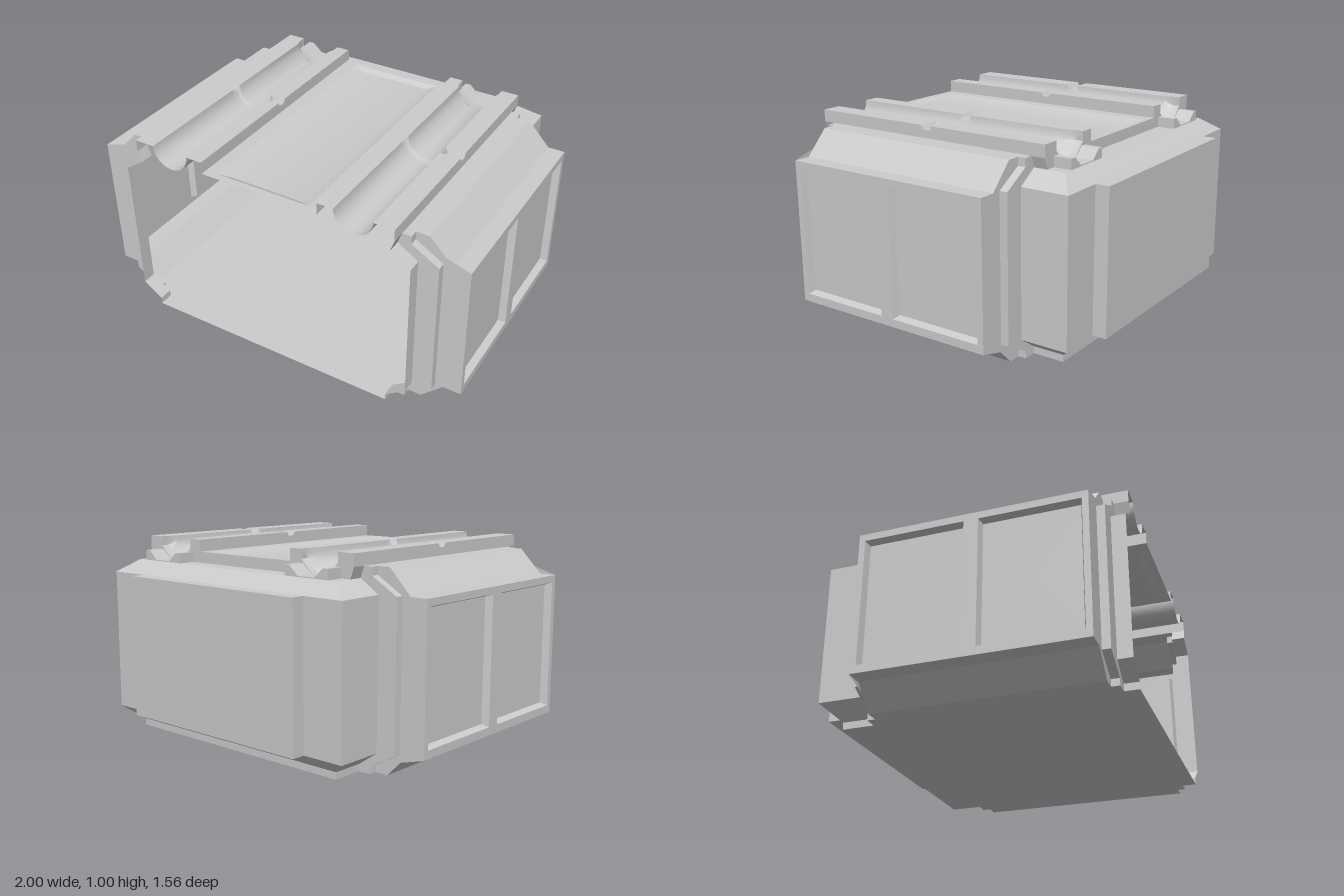
import * as THREE from 'three';
import { toCreasedNormals } from 'three/addons/utils/BufferGeometryUtils.js';

const mat = new THREE.MeshStandardMaterial({ color: 0xcccccc, side: THREE.DoubleSide });

function mesh(geo, name) {
  const m = new THREE.Mesh(toCreasedNormals(geo, 0.45), mat);
  m.name = name;
  return m;
}

// Skin over a row of equal-length point rings; skip(i, j) leaves a face open
function loft(rings, closed = false, skip = () => false) {
  const n = rings[0].length, idx = [];
  for (let i = 0; i < rings.length - 1; i++)
    for (let j = 0; j < (closed ? n : n - 1); j++) {
      if (skip(i, j)) continue;
      const a = i * n + j, b = i * n + (j + 1) % n, c = a + n, d = b + n;
      idx.push(a, c, b, b, c, d);
    }
  const g = new THREE.BufferGeometry();
  g.setAttribute('position', new THREE.Float32BufferAttribute(rings.flat(2), 3));
  g.setIndex(idx);
  g.computeVertexNormals();
  return g;
}

const polygon = (pts) => new THREE.Shape(pts.map(([x, y]) => new THREE.Vector2(x, y)));
const rect = (x0, x1, y0, y1) => [[x0, y0], [x1, y0], [x1, y1], [x0, y1]];

// Flat plate in XY with rectangular holes
function plate(outer, holes) {
  const s = polygon(rect(...outer));
  s.holes = holes.map((h) => polygon(rect(...h)));
  return new THREE.ShapeGeometry(s);
}

// Sunken tray with sloping borders, filling a hole of a plate
function tray([x0, x1, y0, y1], dx, dy, depth) {
  const mid = [(x0 + x1) / 2, (y0 + y1) / 2];
  const at = (pts, z) => pts.map(([x, y]) => [x, y, z]);
  return loft([
    at(rect(x0, x1, y0, y1), 0),
    at(rect(x0 + dx, x1 - dx, y0 + dy, y1 - dy), -depth),
    at([mid, mid, mid, mid], -depth),
  ], true);
}

// Half cross-sections of the hull, from floor centre to the rail's outer foot
const hull = (...pts) => [[0, 0], ...pts, [0.69, 0.94]];
const END = hull([0.67, 0], [0.67, 0.035], [0.77, 0.105], [0.77, 0.82], [0.67, 0.885], [0.69, 0.94]);
const FLANGE = hull([0.735, 0], [0.735, 0.035], [0.87, 0.11], [0.87, 0.82], [0.735, 0.9], [0.735, 0.94]);
const SIDE = hull([0.8, 0], [0.91, 0.11], [1, 0.11], [1, 0.82], [0.915, 0.82], [0.8, 0.94]);
const REAR = -0.54, CX = 0.49;

// Groove across a rail: round, or half an octagon when r is the apothem
function groove(r, octagon, top = 1) {
  const pts = [];
  for (let k = 0; k <= 16; k++) {
    const a = k * Math.PI / 16, q = Math.PI / 4;
    const d = octagon ? r / Math.cos(a - Math.round(a / q) * q) : r;
    pts.push([CX - d * Math.cos(a), Math.min(top, 1 - d * Math.sin(a))]);
  }
  return pts;
}
const railSection = (r, octagon, top = 1) =>
  [[0.31, 0.94], [0.31, top], ...groove(r, octagon, top), [0.69, top], [0.69, 0.94]];

function buildHalf() {
  const half = new THREE.Group();
  const at = (sec, z) => sec.map(([x, y], i) => [x, y, Array.isArray(z) ? z[i] : z]);

  // Floor, stepped flanges and side walls
  const rings = [
    at(END, 0.78), at(END, 0.71), at(FLANGE, 0.71), at(FLANGE, 0.67), at(SIDE, 0.67),
    at(SIDE, -0.43), at(FLANGE, -0.43), at(FLANGE, -0.47), at(END, -0.47), at(END, REAR),
    at(END, [-0.63, -0.63, -0.63, -0.71, -0.71, -0.63, REAR, REAR]),
  ];
  half.add(mesh(loft(rings, false, (i, j) => (i === 4 && j === 3) || (i === 9 && j >= 5)), 'hullSide'));

  // Side panel with two sunken windows
  const windows = [[-0.64, -0.16, 0.15, 0.785], [-0.09, 0.4, 0.15, 0.785]];
  const panel = new THREE.Group();
  panel.name = 'sidePanel';
  panel.add(mesh(plate([-0.67, 0.43, 0.11, 0.82], windows), 'panelFrame'));
  for (const w of windows) panel.add(mesh(tray(w, 0.012, 0.012, 0.035), 'panelWindow'));
  panel.rotation.y = Math.PI / 2;
  panel.position.x = 1;
  half.add(panel);

  // Back wall with chamfers, ledge and raised rear panel
  const row = (y, z, x, zi = z) => [[0, y, zi], [0.55, y, zi], [0.55, y, z], [x, y, z]];
  half.add(mesh(loft([
    row(0.885, REAR, 0.67), row(0.885, -0.63, 0.67), row(0.82, -0.71, 0.77),
    row(0.82, -0.71, 0.77, -0.78), row(0.105, -0.71, 0.77, -0.78), row(0.105, -0.71, 0.77),
    row(0.035, -0.63, 0.67), row(0, -0.63, 0.67),
  ]), 'backWall'));

  // Grooved roof rail with a cross notch and a flared rear end
  const round = railSection(0.098, false), notch = railSection(0.115, false, 0.98);
  const flare = railSection(0.11, true);
  half.add(mesh(loft([
    at(round, 0.78), at(round, 0.15), at(notch, 0.135), at(notch, 0.1), at(round, 0.09),
    at(round, -0.46), at(flare, -0.5), at(flare, REAR),
  ]), 'roofRail'));

  // Upright step closing the roof and rail at the rear
  const step = new THREE.ShapeGeometry(polygon(
    [[0, 0.885], [0.67, 0.885], ...[...flare].reverse(), [0, 0.94]]));
  step.translate(0, 0, REAR);
  half.add(mesh(step, 'roofStep'));

  // Trough collar behind the rail
  const collar = new THREE.ExtrudeGeometry(polygon([
    [0.36, 0.885], [0.62, 0.885], [0.62, 0.935], [0.59, 0.935],
    [0.54, 0.89], [0.44, 0.89], [0.39, 0.935], [0.36, 0.935],
  ]), { depth: 0.09, bevelEnabled: false });
  collar.translate(0, 0, -0.63);
  half.add(mesh(collar, 'railCollar'));
  return half;
}

export function createModel() {
  const model = new THREE.Group();
  model.name = 'openHousing';

  const left = buildHalf();
  left.name = 'leftHalf';
  const right = left.clone();
  right.name = 'rightHalf';
  right.scale.x = -1;
  model.add(left, right);

  // Roof plate between the rails with a shallow tray
  const recess = [-0.245, 0.245, -0.745, 0.515];
  const roof = new THREE.Group();
  roof.name = 'roof';
  roof.add(mesh(plate([-0.31, 0.31, -0.78, -REAR], [recess]), 'roofPlate'));
  roof.add(mesh(tray(recess, 0.05, 0.03, 0.016), 'roofTray'));
  roof.rotation.x = -Math.PI / 2;
  roof.position.y = 0.94;
  model.add(roof);
  return model;
}
